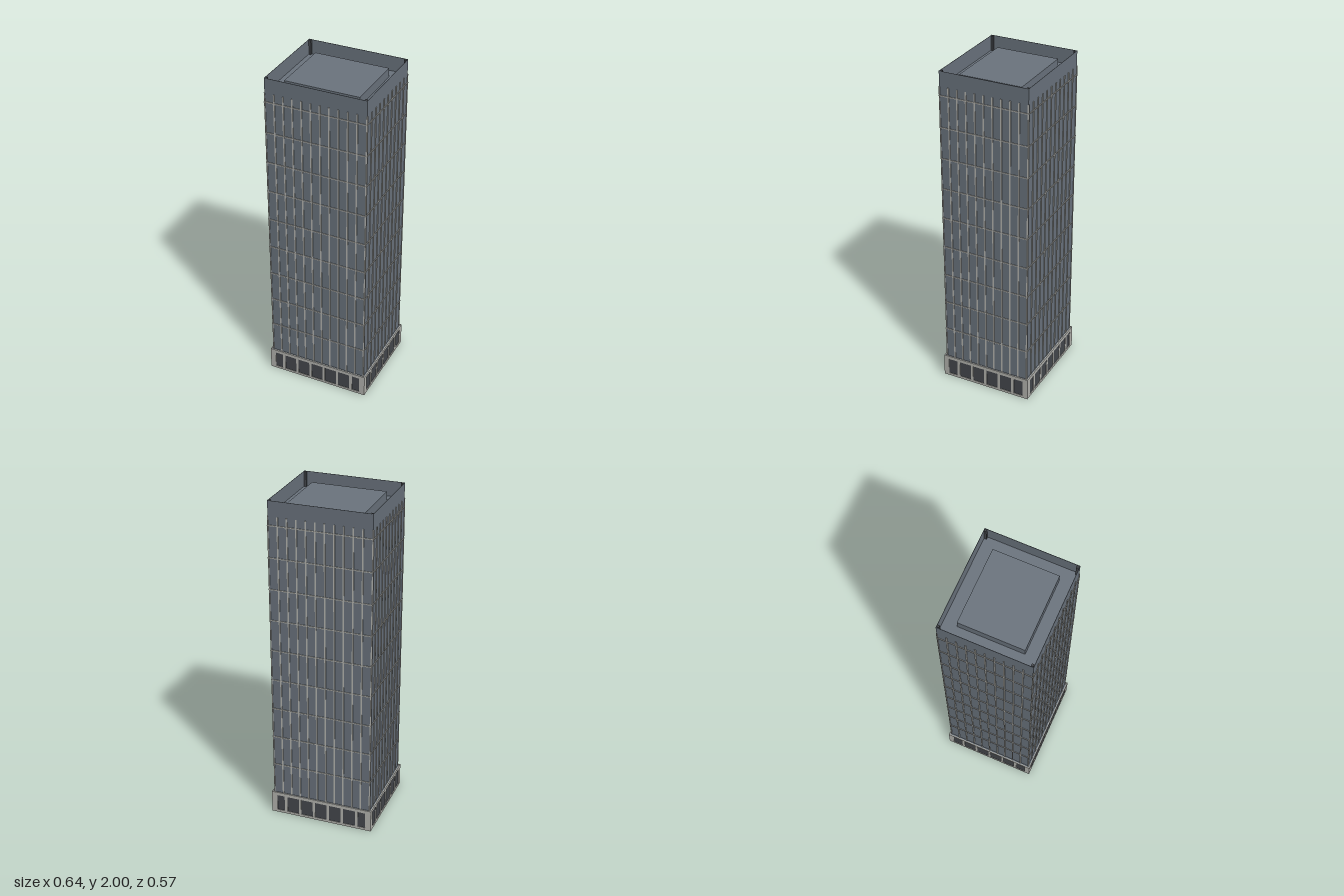
import * as THREE from 'three';

const W = 0.304, D = 0.27;            // half width and half depth of the shaft
const BW = 0.318, BD = 0.284;         // half width and half depth of the base
const BASE_TOP = 0.139, ROOF = 1.91, TOP = 2;

const mat = (name, color) => {
  const m = new THREE.MeshStandardMaterial({ color });
  m.name = name;
  return m;
};

export function createModel() {
  const slate = mat('slate cladding', 0x6b747e);
  const stone = mat('pale stone', 0xb5b5b0);
  const dark = mat('dark glass', 0x45484d);
  const model = new THREE.Group();
  model.name = 'officeTower';

  const add = (parent, name, geometry, material, x = 0, y = 0, z = 0) => {
    const mesh = new THREE.Mesh(geometry, material);
    mesh.name = name;
    mesh.position.set(x, y, z);
    parent.add(mesh);
    return mesh;
  };
  // box given by its size, its bottom height and its centre
  const box = (parent, name, material, w, h, d, x, y, z) =>
    add(parent, name, new THREE.BoxGeometry(w, h, d), material, x, y + h / 2, z);

  // shaft, base ceiling and rooftop
  box(model, 'shaft', slate, 2 * W, ROOF - 0.132, 2 * D, 0, 0.132, 0);
  box(model, 'baseCeiling', slate, 2 * BW - 0.011, 0.005, 2 * BD - 0.011, 0, 0.13, 0);
  box(model, 'roofPlantRoom', slate, 0.45, 0.055, 0.38, 0, ROOF, 0);
  for (const sx of [-1, 1]) for (const sz of [-1, 1])
    box(model, 'roofCornerPost', dark, 0.013, TOP - ROOF, 0.013, sx * 0.293, ROOF, sz * 0.26);

  // horizontal floor bands running round the shaft
  for (let i = 0; i < 9; i++)
    box(model, 'floorBand', stone, 2 * W + 0.008, 0.006, 2 * D + 0.008, 0, 0.33 + i * 0.1905, 0);

  // one side of the building, facing +z at the given distances
  const side = (name, half, dist, baseHalf, baseDist, bays, windows) => {
    const g = new THREE.Group();
    g.name = name;
    // fins
    for (let i = 0; i <= bays; i++) {
      const x = (half - 0.002) * (2 * i / bays - 1);
      box(g, 'fin', stone, i % bays ? 0.008 : 0.004, ROOF - 0.135, 0.006, x, 0.135, dist + 0.001);
    }
    // parapet wall
    box(g, 'parapet', slate, 2 * half, TOP - ROOF, 0.002, 0, ROOF, dist - 0.001);
    // base frame with window openings
    const shape = new THREE.Shape();
    shape.moveTo(-baseHalf, 0).lineTo(baseHalf, 0).lineTo(baseHalf, BASE_TOP).lineTo(-baseHalf, BASE_TOP).closePath();
    for (const [x, w] of windows) {
      const hole = new THREE.Path();
      hole.moveTo(x - w / 2, 0.016).lineTo(x - w / 2, 0.119).lineTo(x + w / 2, 0.119).lineTo(x + w / 2, 0.016).closePath();
      shape.holes.push(hole);
      box(g, 'baseWindow', dark, w, 0.103, 0.001, x, 0.016, baseDist - 0.0035);
    }
    add(g, 'baseFrame', new THREE.ExtrudeGeometry(shape, { depth: 0.004, bevelEnabled: false }), stone, 0, 0, baseDist - 0.004);
    box(g, 'baseInnerWall', stone, 2 * baseHalf - 0.008, BASE_TOP, 0.002, 0, 0, baseDist - 0.005);
    model.add(g);
    return g;
  };

  const mirror = list => list.flatMap(([x, w]) => x ? [[x, w], [-x, w]] : [[x, w]]);
  const wide = mirror([[0, 0.075], [0.09, 0.075], [0.18, 0.075], [0.259, 0.048]]);
  const narrow = mirror([[0.046, 0.075], [0.137, 0.075], [0.222, 0.058]]);
  side('frontSide', W, D, BW, BD, 11, wide);
  side('backSide', W, D, BW, BD, 11, wide).rotation.y = Math.PI;
  side('leftSide', D, W, BD, BW, 10, narrow).rotation.y = Math.PI / 2;
  side('rightSide', D, W, BD, BW, 10, narrow).rotation.y = -Math.PI / 2;
  return model;
}
